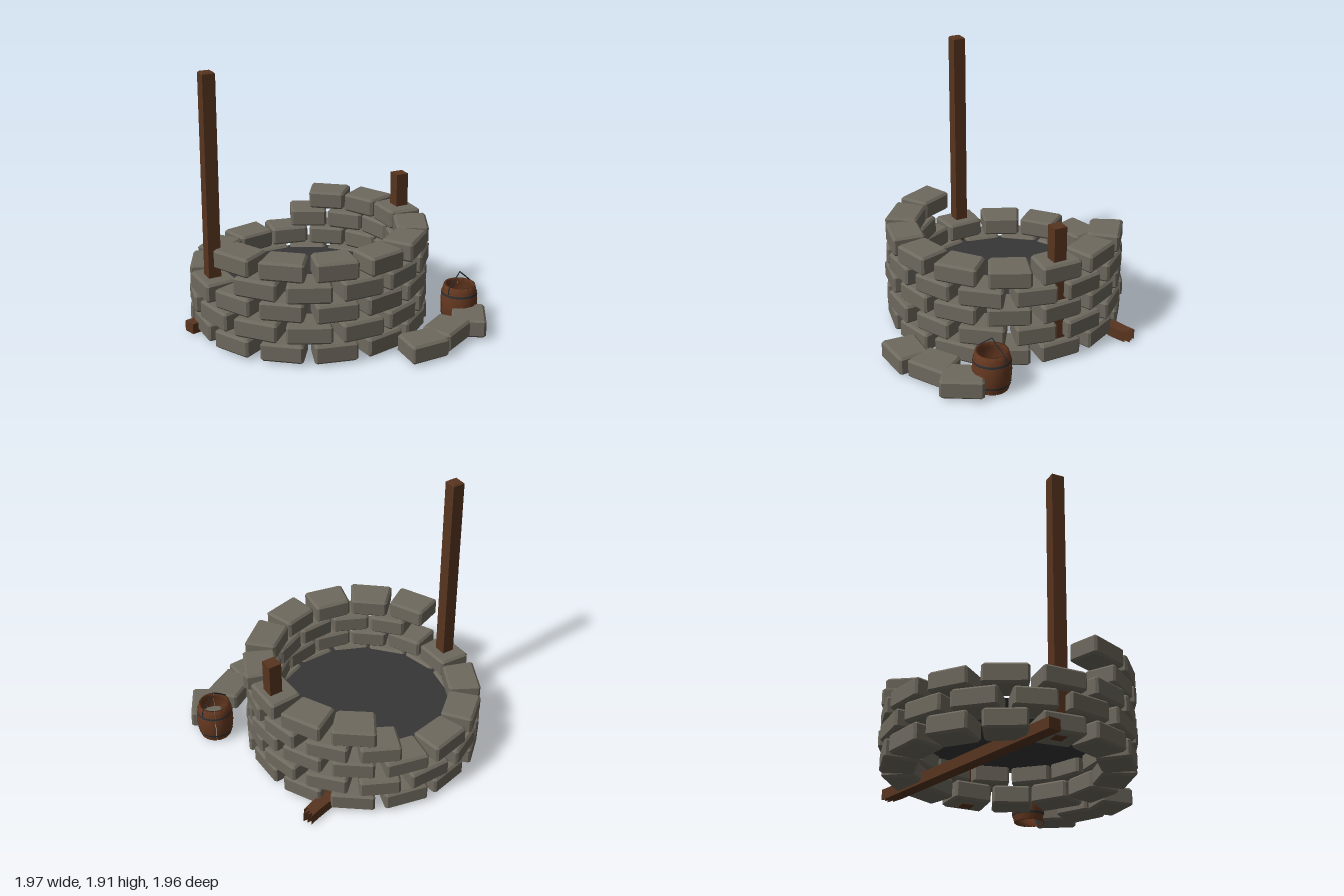
import * as THREE from 'three';

const mat = (name, color, opts = {}) =>
  Object.assign(new THREE.MeshStandardMaterial({ color, ...opts }), { name });

export function createModel() {
  const stone = mat('stone', 0x6e695e, { flatShading: true });
  const timber = mat('timber', 0x58341f, { flatShading: true });
  const barrelWood = mat('barrelWood', 0x653820, { side: THREE.DoubleSide });
  const iron = mat('iron', 0x2b2f33, { side: THREE.DoubleSide });
  const dark = mat('darkWater', 0x363636, { side: THREE.DoubleSide });

  const model = new THREE.Group();
  model.name = 'ruinedWell';
  const CX = -0.065, CZ = -0.115;

  let seed = 7;
  const rand = () => (seed = (seed * 16807) % 2147483647) / 2147483647;
  const jitter = (a) => (rand() - 0.5) * 2 * a;

  const add = (parent, name, geometry, material, x = 0, y = 0, z = 0) => {
    const m = new THREE.Mesh(geometry, material);
    m.name = name;
    m.position.set(x, y, z);
    parent.add(m);
    return m;
  };

  // Upright prism from a plan outline of [x, z] points, with chipped edges
  const slab = (points, height, bevel) => {
    const shape = new THREE.Shape(points.map(([x, z]) => new THREE.Vector2(x, -z)));
    const g = new THREE.ExtrudeGeometry(shape, {
      depth: height - 2 * bevel, bevelEnabled: bevel > 0,
      bevelThickness: bevel, bevelSize: bevel, bevelOffset: -bevel, bevelSegments: 1,
    });
    return g.translate(0, 0, bevel).rotateX(-Math.PI / 2);
  };

  // Wedge stone with cut corners; local +x points away from the ring
  const stoneGeometry = () => {
    const d = 0.118, wi = 0.133 + jitter(0.004), wo = 0.154 + jitter(0.007), c = 0.016;
    const corners = [[-d, -wi], [d, -wo], [d, wo], [-d, wi]]
      .map(([x, z]) => [x + jitter(0.006), z + jitter(0.006)]);
    const outline = [];
    corners.forEach((p, i) => {
      for (const q of [corners[(i + 3) % 4], corners[(i + 1) % 4]]) {
        const l = Math.hypot(q[0] - p[0], q[1] - p[1]);
        outline.push([p[0] + (q[0] - p[0]) * c / l, p[1] + (q[1] - p[1]) * c / l]);
      }
    });
    return slab(outline, 0.136 + jitter(0.003), 0.016);
  };

  const placeStone = (parent, name, x, y, z, angle) => {
    const s = add(parent, name, stoneGeometry(), stone, x, y, z);
    s.rotation.set(jitter(0.015), -angle + jitter(0.03), jitter(0.015));
  };

  // Five courses of fourteen stones; the upper two are broken away at the back right corner
  const wall = new THREE.Group();
  wall.name = 'stoneWall';
  model.add(wall);
  const step = (Math.PI * 2) / 14;
  const courses = [
    { y: 0.018, from: 0, count: 14 },
    { y: 0.165, from: 0.5, count: 14 },
    { y: 0.318, from: 0, count: 14 },
    { y: 0.459, from: -2.5, count: 9 },
    { y: 0.608, from: -2, count: 9 },
  ];
  courses.forEach(({ y, from, count }, row) => {
    for (let i = 0; i < count; i++) {
      const a = (from + i) * step, r = 0.733 + jitter(0.008);
      placeStone(wall, `course${row + 1}Stone`, CX + r * Math.cos(a), y, CZ + r * Math.sin(a), a);
    }
  });

  // Fallen stones on the ground
  [[0.325, 0.855, 90], [0.575, 0.75, 59], [0.82, 0.665, 31]].forEach(([x, z, deg]) =>
    placeStone(model, 'fallenStone', x, 0.018, z, THREE.MathUtils.degToRad(deg)));

  // Dark surface inside the well
  add(model, 'wellSurface', new THREE.CircleGeometry(0.68, 48).rotateX(-Math.PI / 2), dark, CX, 0.285, CZ);

  // Roof posts, one whole and one snapped short
  const square = (h) => [[-h, -h], [h, -h], [h, h], [-h, h]];
  add(model, 'tallPost', slab(square(0.046), 1.9, 0.01), timber, -0.813, 0.013, CZ);
  add(model, 'shortPost', slab(square(0.047), 0.977, 0), timber, 0.685, 0.013, CZ);

  // Fallen beam with a splintered end
  const beam = add(model, 'fallenBeam', slab([
    [-0.905, -0.046], [0.82, -0.046], [0.9, -0.05], [0.868, -0.03], [0.905, -0.018],
    [0.86, -0.006], [0.915, 0.012], [0.85, 0.02], [0.885, 0.036], [0.8, 0.046], [-0.905, 0.046],
  ], 0.076, 0), timber, -0.09, 0.003, -0.446);
  beam.rotation.y = 0.256;

  // Open barrel made of curved staves
  const barrel = new THREE.Group();
  barrel.name = 'barrelBucket';
  barrel.position.set(0.862, 0.015, 0.472);
  model.add(barrel);
  const H = 0.275;
  const radius = (t) => 0.113 + 0.021 * (1 - (2 * t - 1) ** 2);
  const profile = [];
  const N = 8;
  for (let i = 0; i <= N; i++) profile.push(new THREE.Vector2(radius(i / N), H * i / N));
  for (let i = N; i >= 0; i--) profile.push(new THREE.Vector2(radius(i / N) - 0.016, H * i / N));
  profile.push(profile[0].clone());
  const staves = 14;
  for (let i = 0; i < staves; i++) {
    const arc = (Math.PI * 2) / staves;
    add(barrel, 'stave', new THREE.LatheGeometry(profile, 2, i * arc + 0.015, arc - 0.03), barrelWood);
  }

  // Iron hoops
  for (const t of [0.18, 0.78]) {
    const w = 0.028;
    const pts = [t - w, t + w].map((u) => new THREE.Vector2(radius(u) + 0.003, u * H));
    add(barrel, 'hoop', new THREE.LatheGeometry(pts, 28), iron);
  }

  // Bent wire handle
  const handle = new THREE.CurvePath();
  const p = [[-0.126, 0.225], [-0.122, 0.268], [0, 0.368], [0.122, 0.268], [0.126, 0.225]]
    .map(([x, y]) => new THREE.Vector3(x, y, 0));
  for (let i = 0; i < 4; i++) handle.add(new THREE.LineCurve3(p[i], p[i + 1]));
  add(barrel, 'handle', new THREE.TubeGeometry(handle, 40, 0.0045, 6), iron).rotation.y = 0.33;

  return model;
}
